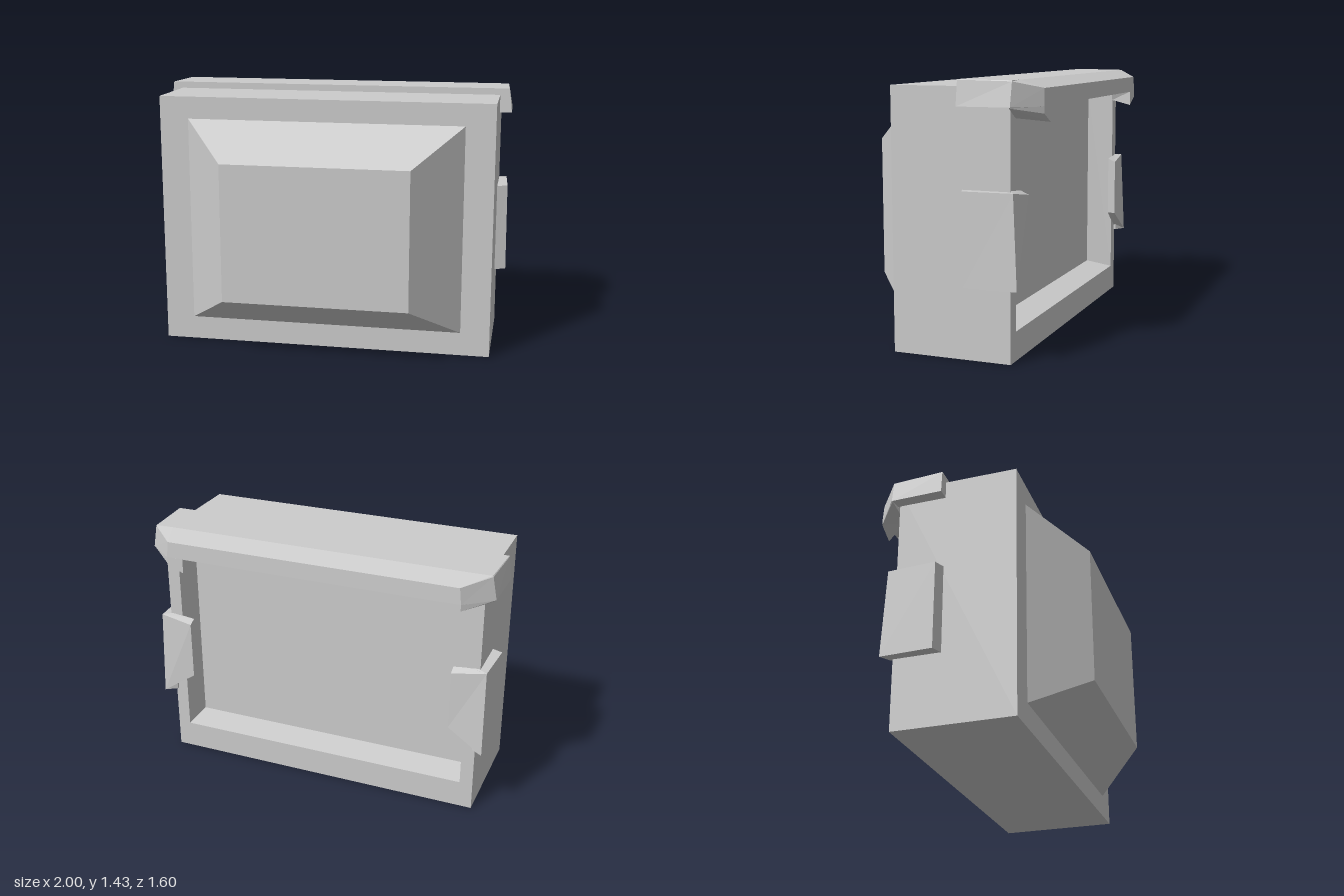
import * as THREE from 'three';

const material = new THREE.MeshStandardMaterial({ color: 0xcccccc, flatShading: true });

// Closed solid through rings of equal length; rings run counter-clockwise
// as seen from the end they advance towards.
function loft(name, rings) {
  const pos = [];
  const n = rings[0].length;
  const tri = (a, b, c) => pos.push(...a, ...b, ...c);
  for (let r = 0; r < rings.length - 1; r++) {
    for (let i = 0; i < n; i++) {
      const j = (i + 1) % n;
      const [a, b, c, d] = [rings[r][i], rings[r][j], rings[r + 1][j], rings[r + 1][i]];
      tri(a, b, c);
      tri(a, c, d);
    }
  }
  const first = rings[0];
  const last = rings[rings.length - 1];
  for (let i = 1; i < n - 1; i++) {
    tri(first[0], first[i + 1], first[i]);
    tri(last[0], last[i], last[i + 1]);
  }
  const geometry = new THREE.BufferGeometry();
  geometry.setAttribute('position', new THREE.Float32BufferAttribute(pos, 3));
  geometry.computeVertexNormals();
  const mesh = new THREE.Mesh(geometry, material);
  mesh.name = name;
  return mesh;
}

// Upright rectangle at depth z
const rect = (hx, y0, y1, z) => [[-hx, y0, z], [hx, y0, z], [hx, y1, z], [-hx, y1, z]];

// Mirror rings to the other side, keeping the faces outward
const mirror = (rings) => rings.map((ring) => ring.map(([x, y, z]) => [-x, y, z]).reverse());

export function createModel() {
  const model = new THREE.Group();
  model.name = 'box';
  const turned = new THREE.Group();
  turned.name = 'turnedBox';
  turned.rotation.y = -0.512;
  turned.position.set(-0.0325, 0, 0.0175);
  model.add(turned);

  // Case with a shallow tapered recess in its back
  turned.add(loft('case', [
    rect(0.825, 0.185, 1.292, -0.173),
    rect(0.85, 0.155, 1.296, -0.328),
    rect(0.923, 0, 1.397, -0.328),
    rect(0.923, 0, 1.397, 0.328),
  ]));

  // Raised sloping front panel
  turned.add(loft('frontPanel', [
    rect(0.763, 0.13, 1.275, 0.32),
    rect(0.763, 0.13, 1.275, 0.328),
    rect(0.508, 0.32, 1.08, 0.607),
  ]));

  // Lid over the rear half, sloping down to its back edge
  const lidRing = (front, side, back) => {
    const half = [front, side, back];
    return [...half, ...half.map(([x, y, z]) => [-x, y, z]).reverse()];
  };
  turned.add(loft('lid', [
    lidRing([0.99, 1.3, -0.066], [0.985, 1.3, -0.35], [0.835, 1.3, -0.472]),
    lidRing([0.975, 1.43, -0.068], [0.962, 1.425, -0.352], [0.825, 1.39, -0.47]),
    lidRing([0.972, 1.433, -0.068], [0.958, 1.43, -0.35], [0.86, 1.43, -0.352]),
  ]));

  const sides = {
    // Hanging corner of the lid
    LidCorner: [
      [[0.985, 1.296, -0.345], [0.835, 1.265, -0.472], [0.74, 1.218, -0.472], [0.85, 1.24, -0.326]],
      [[0.985, 1.302, -0.349], [0.835, 1.302, -0.472], [0.74, 1.302, -0.472], [0.82, 1.302, -0.326]],
    ],
    // Flat plate of the side clip
    ClipPlate: [
      [[0.91, 0.39, -0.062], [0.984, 0.39, -0.09], [0.972, 0.39, -0.38], [0.91, 0.39, -0.34]],
      [[0.91, 0.88, -0.062], [0.98, 0.88, -0.09], [0.965, 0.88, -0.358], [0.91, 0.88, -0.34]],
    ],
    // Hook of the clip, wrapping around the back edge
    ClipHook: [
      [[0.972, 0.39, -0.38], [0.776, 0.52, -0.37], [0.776, 0.52, -0.326], [0.91, 0.42, -0.326]],
      [[0.965, 0.88, -0.358], [0.776, 0.85, -0.37], [0.776, 0.87, -0.326], [0.91, 0.885, -0.326]],
    ],
  };
  for (const [part, rings] of Object.entries(sides)) {
    turned.add(loft('left' + part, rings));
    turned.add(loft('right' + part, mirror(rings)));
  }
  return model;
}
